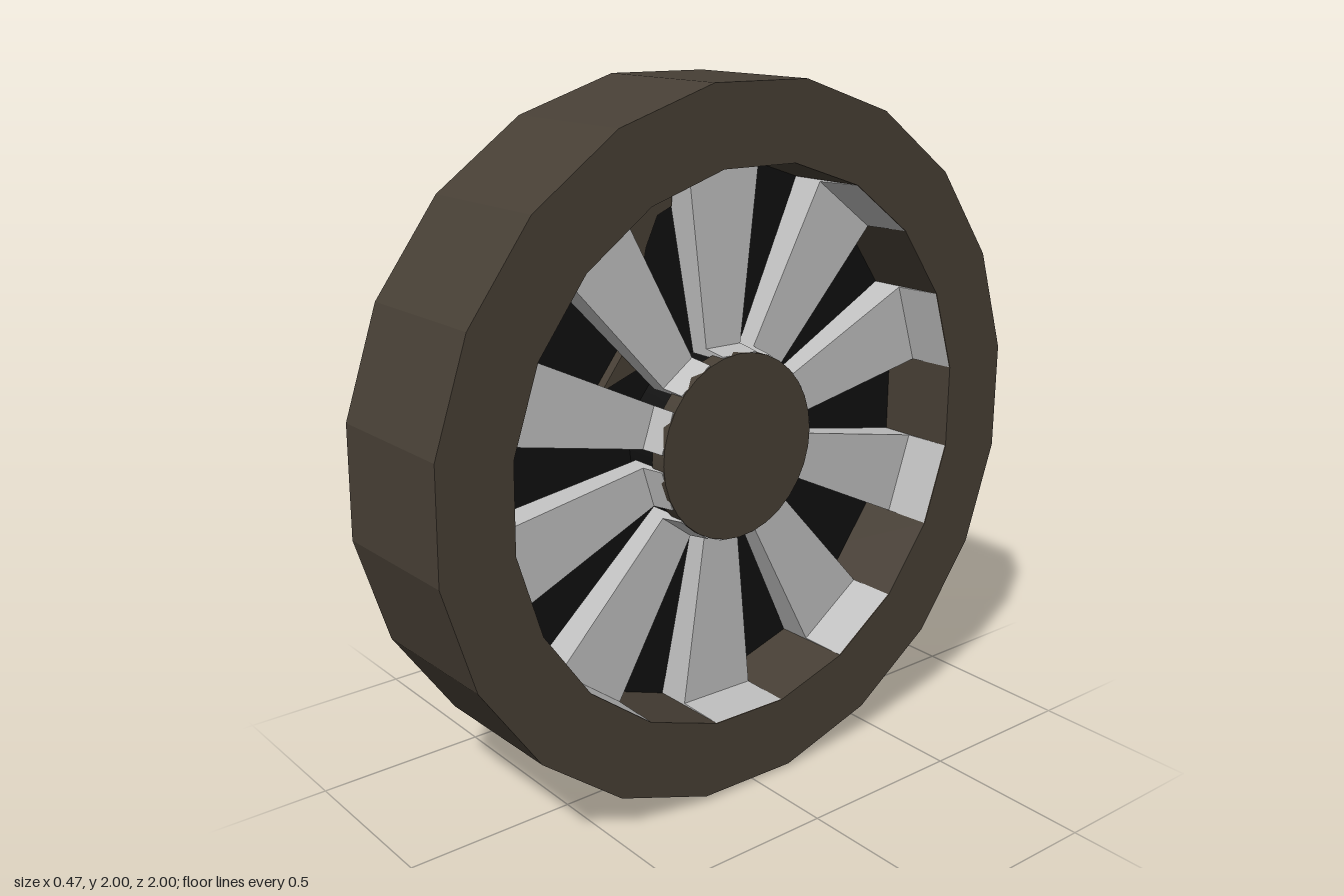
import * as THREE from 'three';

const SIDES = 20;
const START = THREE.MathUtils.degToRad(97.4); // angle of the first rim corner
const HALF = 0.2175; // half of the wheel width
const OUTER = 1.005, INNER = 0.785, HUB = 0.265;

function ringPoints(radius) {
  return Array.from({ length: SIDES }, (_, i) => {
    const a = START + (i / SIDES) * Math.PI * 2;
    return new THREE.Vector2(Math.cos(a) * radius, Math.sin(a) * radius);
  });
}

// Spoke: side profile (radius, depth behind the rim face), widened with radius
function spokeGeometry() {
  const profile = [
    [0.775, 0.003], [0.77, 0.147], [0.272, 0.14], [0.262, 0.07],
    [0.25, 0.07], [0.25, 0.2], [0.775, 0.25],
  ].map(([r, d]) => new THREE.Vector2(r, HALF - d));
  const geo = new THREE.ExtrudeGeometry(new THREE.Shape(profile), { depth: 2, bevelEnabled: false });
  geo.translate(0, 0, -1);
  geo.rotateX(Math.PI / 2); // profile depth now runs along the axle
  const p = geo.attributes.position;
  for (let i = 0; i < p.count; i++) {
    const half = 0.06 + (p.getX(i) - HUB) * 0.123;
    p.setY(i, p.getY(i) * half);
  }
  geo.computeVertexNormals();
  return geo;
}

export function createModel() {
  const rubber = new THREE.MeshStandardMaterial({ color: 0x473f35 });
  const silver = new THREE.MeshStandardMaterial({ color: 0xc0c0c0 });
  const black = new THREE.MeshStandardMaterial({ color: 0x101010 });
  rubber.name = 'darkBrown';
  silver.name = 'silver';
  black.name = 'black';

  const model = new THREE.Group();
  model.name = 'wheel';
  const wheel = new THREE.Group(); // built with the axle on z, then turned to x
  wheel.name = 'wheelParts';
  const add = (name, geo, mat, z = 0) => {
    const mesh = new THREE.Mesh(geo, mat);
    mesh.name = name;
    mesh.position.z = z;
    wheel.add(mesh);
    return mesh;
  };

  // Tyre ring
  const ring = new THREE.Shape(ringPoints(OUTER));
  ring.holes.push(new THREE.Path(ringPoints(INNER)));
  add('tyre', new THREE.ExtrudeGeometry(ring, { depth: HALF * 2, bevelEnabled: false }), rubber, -HALF);

  // Closed back
  const back = new THREE.ShapeGeometry(new THREE.Shape(ringPoints(INNER)));
  back.rotateY(Math.PI);
  back.rotateZ(Math.PI - 2 * START); // line the mirrored corners up with the ring
  add('backPlate', back, rubber, -HALF);

  // Dark floor behind the spokes
  add('innerDisc', new THREE.ShapeGeometry(new THREE.Shape(ringPoints(INNER))), black, HALF - 0.25);

  // Brake block in front of the floor
  const block = new THREE.Shape([
    [-0.1, 0.77], [-0.1, 0.66], [-0.15, 0.64], [-0.19, 0.56], [-0.22, 0.43],
    [-0.2, 0.24], [-0.35, 0.19], [-0.27, 0.29], [-0.29, 0.44], [-0.36, 0.64], [-0.31, 0.7],
  ].map(([x, y]) => new THREE.Vector2(x, y)));
  add('brakeBlock', new THREE.ExtrudeGeometry(block, { depth: 0.03, bevelEnabled: false }), rubber, HALF - 0.25);

  // Hub
  const hub = new THREE.CylinderGeometry(HUB, HUB, 0.05, 32);
  hub.rotateX(Math.PI / 2);
  add('hubCap', hub, rubber, HALF - 0.066 - 0.025);
  const core = new THREE.CylinderGeometry(0.24, 0.24, 0.15, 32);
  core.rotateX(Math.PI / 2);
  add('hubCore', core, black, HALF - 0.185);

  // Ten spokes, each over every other side of the rim
  const spoke = spokeGeometry();
  for (let i = 0; i < 10; i++) {
    add('spoke', spoke, silver).rotation.z = START - Math.PI / SIDES + (i / 10) * Math.PI * 2;
  }

  // Turn the open face to +x, with a slight lean
  wheel.rotation.y = Math.PI / 2;
  const lean = new THREE.Group();
  lean.name = 'leaningWheel';
  lean.rotation.set(0, 0.0075, 0.0175);
  lean.position.y = 1;
  lean.add(wheel);
  model.add(lean);
  return model;
}
